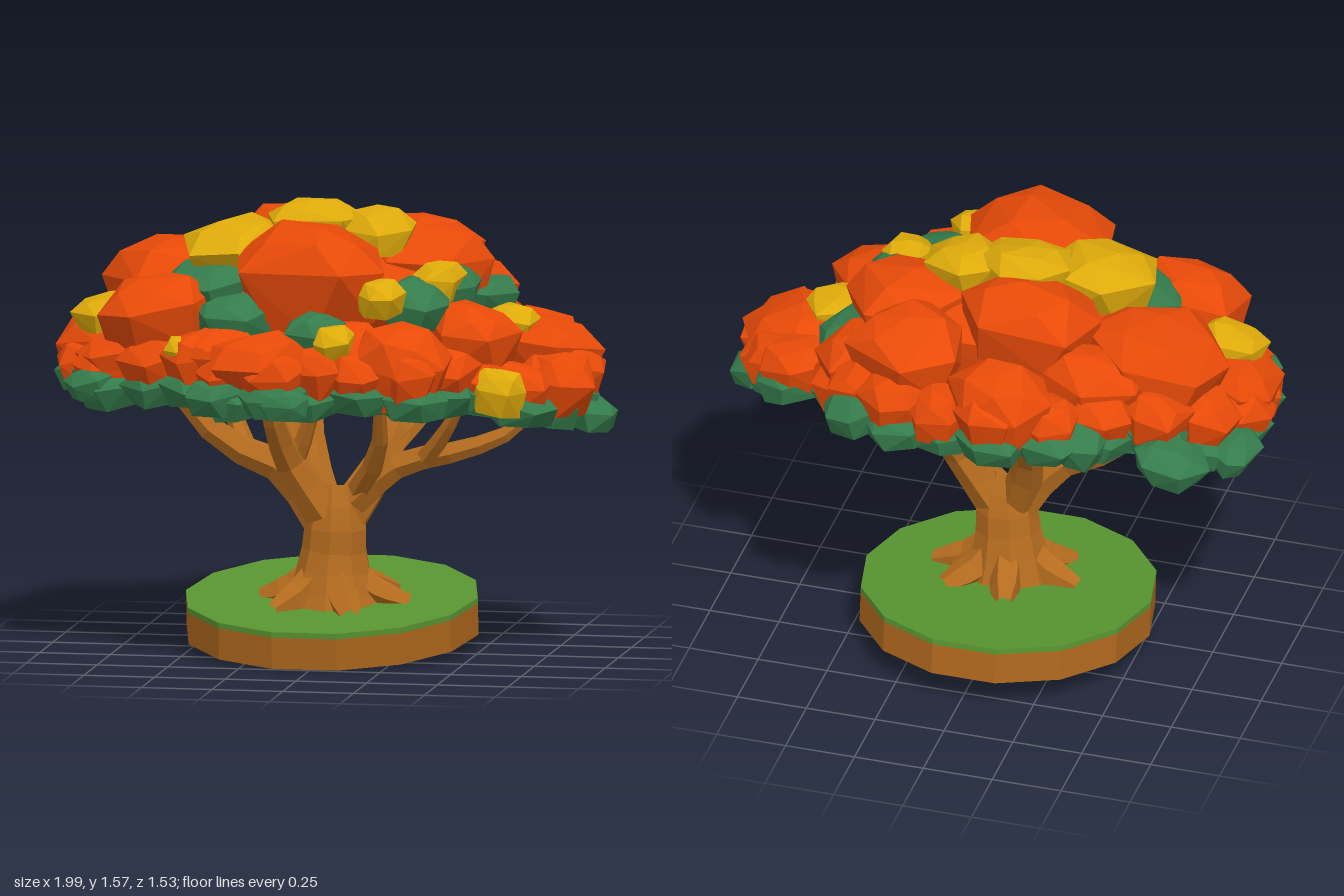
import * as THREE from 'three';
import { ConvexGeometry } from 'three/addons/geometries/ConvexGeometry.js';

const paint = (name, color) => {
  const m = new THREE.MeshStandardMaterial({ color });
  m.name = name;
  return m;
};

export function createModel() {
  const orange = paint('orangeLeaf', 0xe84a08);
  const yellow = paint('yellowLeaf', 0xdeaa0a);
  const green = paint('darkGreenLeaf', 0x357c4c);
  const grass = paint('grass', 0x589431);
  const bark = paint('bark', 0xb56c1f);
  const soil = paint('soil', 0xae671d);

  let seed = 7;
  const rnd = () => (seed = (seed * 16807) % 2147483647) / 2147483647;
  const jit = (a) => (rnd() * 2 - 1) * a;
  const model = new THREE.Group();
  model.name = 'autumnTree';

  const add = (parent, name, geo, mat) => {
    const mesh = new THREE.Mesh(geo, mat);
    mesh.name = name;
    parent.add(mesh);
    return mesh;
  };
  const facet = (geo) => {
    const g = geo.toNonIndexed();
    g.computeVertexNormals();
    return g;
  };

  // Tilted ground disc: soil below, thin grass layer above
  const ground = new THREE.Group();
  ground.name = 'ground';
  ground.position.set(-0.02, 0.127, -0.045);
  ground.rotation.x = 0.112;
  ground.scale.z = 1.07;
  model.add(ground);
  const disc = (h) => facet(new THREE.CylinderGeometry(0.516, 0.516, h, 14, 1, false, Math.PI / 14));
  add(ground, 'soilDisc', disc(0.112), soil).position.y = -0.01;
  add(ground, 'grassTop', disc(0.02), grass).position.y = 0.056;
  const groundY = (z) => 0.19 - 0.112 * (z + 0.045);

  // Tapered, faceted limb through a few points
  const limb = (name, pts, radii, sides = 6) => {
    const curve = new THREE.CatmullRomCurve3(pts.map((p) => new THREE.Vector3(...p)));
    const n = (pts.length - 1) * 2;
    const geo = new THREE.TubeGeometry(curve, n, 1, sides);
    const pos = geo.attributes.position;
    const v = new THREE.Vector3();
    for (let i = 0; i <= n; i++) {
      const c = curve.getPointAt(i / n);
      const f = (i / n) * (radii.length - 1);
      const k = Math.min(Math.floor(f), radii.length - 2);
      const r = THREE.MathUtils.lerp(radii[k], radii[k + 1], f - k);
      for (let j = 0; j <= sides; j++) {
        const id = i * (sides + 1) + j;
        v.fromBufferAttribute(pos, id).sub(c).multiplyScalar(r).add(c);
        pos.setXYZ(id, v.x, v.y, v.z);
      }
    }
    add(model, name, facet(geo), bark);
  };

  // Trunk and flared roots
  limb('trunk', [[0, 0.13, 0.03], [0, 0.3, 0.03], [0.01, 0.45, 0.04], [0.01, 0.6, 0.05]],
    [0.185, 0.14, 0.115, 0.108, 0.06], 9);
  for (let i = 0; i < 6; i++) {
    const a = (i / 6) * Math.PI * 2 + 0.2 + jit(0.2);
    const reach = 0.25 + jit(0.02);
    const at = (r, h) => [r * Math.cos(a), groundY(0.03 + r * Math.sin(a)) + h, 0.03 + r * Math.sin(a)];
    limb('root', [at(0.06, 0.12), at(0.12, 0.05), at(0.18, 0.02), at(reach, -0.005)], [0.05, 0.06, 0.055, 0.035], 5);
  }

  // Branches
  const branches = [
    [[[-0.03, 0.46, 0.04], [-0.17, 0.64, 0.06], [-0.38, 0.74, 0.08], [-0.6, 0.98, 0.1]], 0.08],
    [[[-0.03, 0.5, 0.07], [-0.14, 0.68, 0.13], [-0.17, 0.82, 0.24], [-0.2, 1.02, 0.36]], 0.075],
    [[[-0.12, 0.64, 0.08], [-0.16, 0.8, 0.03], [-0.17, 1.1, -0.06]], 0.06],
    [[[-0.04, 0.5, 0.02], [-0.1, 0.7, -0.06], [-0.13, 0.9, -0.22], [-0.15, 1.14, -0.46]], 0.07],
    [[[-0.13, 0.67, 0.1], [-0.07, 0.8, 0.15], [-0.01, 1.02, 0.22]], 0.04],
    [[[0.03, 0.46, 0.03], [0.16, 0.66, 0], [0.22, 0.82, -0.08], [0.25, 1.1, -0.26]], 0.085],
    [[[0.08, 0.54, 0.05], [0.24, 0.67, 0.08], [0.46, 0.73, 0.1], [0.62, 0.79, 0.08], [0.76, 0.92, 0.05]], 0.06],
    [[[0.34, 0.7, 0.1], [0.43, 0.82, 0.18], [0.52, 0.98, 0.26]], 0.04],
    [[[0.2, 0.72, -0.02], [0.32, 0.86, -0.14], [0.42, 1.08, -0.28]], 0.04],
    [[[-0.3, 0.7, 0.07], [-0.38, 0.84, -0.06], [-0.48, 1.06, -0.2]], 0.04],
    [[[0.1, 0.58, 0.07], [0.19, 0.74, 0.2], [0.22, 1.0, 0.36]], 0.045],
  ];
  branches.forEach(([pts, r]) => limb('branch', pts, [r, r * 0.75, r * 0.55, r * 0.3]));

  // A few unit leaf clumps: steep chiselled sides, low faceted cap
  const clumps = Array.from({ length: 8 }, () => {
    const pts = [new THREE.Vector3(jit(0.25), 1, jit(0.25))];
    const turn = rnd() * 6;
    [[0.85, -1, 6, 0], [1.02, 0.25, 6, 0], [0.62, 0.82, 5, 0.4]].forEach(([r, y, n, twist]) => {
      for (let i = 0; i < n; i++) {
        const a = turn + twist + ((i + jit(0.2)) / n) * Math.PI * 2;
        const q = r * (1 + jit(0.07));
        pts.push(new THREE.Vector3(q * Math.cos(a), y + jit(0.14), q * Math.sin(a)));
      }
    });
    return new ConvexGeometry(pts);
  });

  const canopy = new THREE.Group();
  canopy.name = 'canopy';
  model.add(canopy);
  let count = 0;
  const clump = (name, mat, x, y, z, rx, ry, rz) => {
    const holder = new THREE.Group();
    holder.name = name;
    holder.position.set(x, y, z);
    holder.scale.set(rx, ry, rz);
    holder.rotation.set(0.07 + z * 0.35, 0, -x * 0.25);
    add(holder, name + 'Rock', clumps[count++ % 8], mat).rotation.y = rnd() * 6.28;
    canopy.add(holder);
  };

  // Lobed plan outline of the crown: x, z
  const outline = [
    [0.98, 0.02], [0.92, 0.2], [0.81, 0.32], [0.64, 0.36], [0.52, 0.5], [0.42, 0.68], [0.22, 0.67], [0.03, 0.7],
    [-0.12, 0.77], [-0.3, 0.69], [-0.46, 0.59], [-0.65, 0.5], [-0.86, 0.38], [-0.99, 0.18], [-0.98, -0.05],
    [-0.92, -0.25], [-0.76, -0.42], [-0.54, -0.5], [-0.36, -0.64], [-0.15, -0.77], [0.08, -0.71], [0.27, -0.7],
    [0.43, -0.62], [0.54, -0.46], [0.62, -0.27], [0.8, -0.31], [0.92, -0.18],
  ];

  // Green underside: rings of flat clumps following a sloping, drooping surface
  const underY = (x, z) => 1.08 - 0.15 * z - 0.17 * x * x - 0.04 * x;
  [[0.85, 1, 0.13], [0.66, 1, 0.15], [0.44, 2, 0.18], [0.18, 4, 0.2]].forEach(([s, step, r]) => {
    for (let i = 0; i < outline.length; i += step) {
      const x = outline[i][0] * s + jit(0.025);
      const z = outline[i][1] * s + jit(0.025);
      clump('greenUnderClump', green, x, underY(x, z) + jit(0.03), z, r, 0.06, r * 0.85);
    }
  });

  // Orange skirt just above the green rim
  outline.forEach(([ox, oz]) => {
    const x = ox * 0.86;
    const z = oz * 0.84;
    clump('orangeSkirtClump', orange, x, underY(x, z) + 0.085 + jit(0.03), z, 0.13 + jit(0.015), 0.085, 0.12);
  });

  // Main crown clumps: x, y, z, rx, ry, rz
  [
    [0, 1.28, 0, 0.48, 0.12, 0.42], [-0.02, 1.38, 0.31, 0.29, 0.16, 0.24],
    [-0.6, 1.29, -0.13, 0.26, 0.13, 0.26], [-0.15, 1.41, -0.22, 0.26, 0.13, 0.2],
    [0.32, 1.36, -0.13, 0.22, 0.12, 0.23], [0.22, 1.36, -0.44, 0.21, 0.12, 0.2],
    [-0.15, 1.29, -0.59, 0.19, 0.12, 0.16], [-0.42, 1.28, -0.32, 0.2, 0.1, 0.17],
    [0.42, 1.25, -0.36, 0.15, 0.1, 0.18], [-0.83, 1.1, 0.07, 0.16, 0.09, 0.19],
    [-0.57, 1.23, 0.34, 0.22, 0.12, 0.18], [-0.68, 1.08, 0.3, 0.18, 0.08, 0.15],
    [-0.15, 1.1, 0.62, 0.19, 0.09, 0.13], [-0.32, 1.1, 0.5, 0.17, 0.09, 0.13],
    [0.32, 1.08, 0.53, 0.19, 0.14, 0.15], [0.54, 1.16, 0.26, 0.17, 0.11, 0.16],
    [0.75, 1.09, -0.04, 0.19, 0.1, 0.2], [0.82, 0.99, 0.14, 0.14, 0.1, 0.16],
    [0.76, 1.07, -0.19, 0.14, 0.08, 0.12], [0.1, 1.13, 0.46, 0.17, 0.1, 0.15],
  ].forEach((c) => clump('orangeClump', orange, ...c));

  // Yellow accents
  [
    [-0.33, 1.43, 0.11, 0.19, 0.09, 0.2], [-0.08, 1.5, -0.03, 0.18, 0.075, 0.14],
    [0.14, 1.475, -0.03, 0.14, 0.075, 0.15], [-0.78, 1.2, 0.16, 0.13, 0.06, 0.12],
    [0.63, 1.18, 0.01, 0.1, 0.06, 0.12], [0.65, 0.985, 0.38, 0.1, 0.08, 0.08],
    [0.24, 1.31, 0.43, 0.09, 0.06, 0.09], [0.1, 1.17, 0.58, 0.08, 0.06, 0.08],
    [0.4, 1.34, 0.16, 0.09, 0.06, 0.1], [-0.45, 1.12, 0.52, 0.06, 0.05, 0.07],
  ].forEach((c) => clump('yellowClump', yellow, ...c));

  // Green pockets between the crown clumps and tufts poking past the rim
  [
    [-0.4, 1.31, 0.2, 0.2, 0.08, 0.18], [-0.28, 1.23, 0.4, 0.15, 0.07, 0.12],
    [0.33, 1.27, 0.26, 0.13, 0.08, 0.18], [0.42, 1.31, 0.08, 0.11, 0.07, 0.13],
    [0.48, 1.23, -0.25, 0.13, 0.07, 0.2], [0.02, 1.2, 0.53, 0.11, 0.06, 0.09],
    [-0.74, 1.08, -0.46, 0.13, 0.06, 0.12], [-0.42, 1.14, -0.51, 0.11, 0.07, 0.11],
    [0.38, 1.17, -0.61, 0.11, 0.07, 0.09], [0.91, 0.87, 0.03, 0.1, 0.055, 0.12],
    [-0.79, 0.98, 0.38, 0.1, 0.05, 0.08], [-0.3, 0.98, 0.64, 0.12, 0.06, 0.08],
    [-0.06, 0.97, 0.71, 0.1, 0.05, 0.07], [-0.89, 1.0, -0.2, 0.09, 0.06, 0.13],
  ].forEach((c) => clump('greenClump', green, ...c));

  return model;
}
